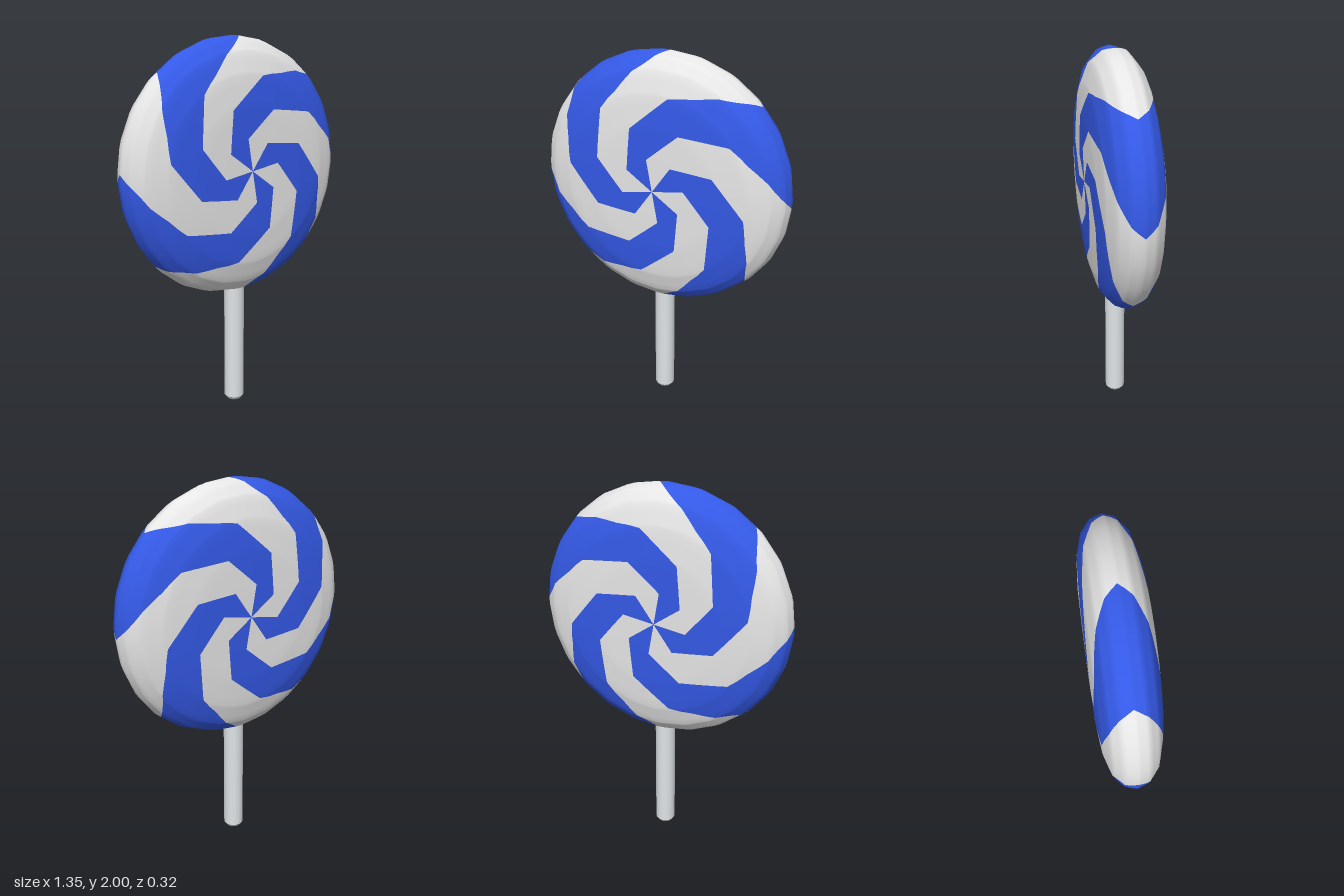
import * as THREE from 'three';

const DEG = Math.PI / 180;
const COLUMNS = 96;   // 12 columns for each of the 8 stripes
const STEPS = 4;      // rows between two neighbouring profile rings

const white = new THREE.MeshStandardMaterial({ color: 0xe6e6e6 });
white.name = 'candyWhite';
const blue = new THREE.MeshStandardMaterial({ color: 0x3459e6 });
blue.name = 'candyBlue';
const stickWhite = new THREE.MeshStandardMaterial({ color: 0xe0e4e7 });
stickWhite.name = 'stickWhite';

// Disc rings from centre to rim: radius, half thickness, swirl angle in degrees
const RINGS = [
  [0, 0.16, 100], [0.17, 0.16, 100], [0.337, 0.157, 66], [0.485, 0.143, 36],
  [0.595, 0.11, 12], [0.655, 0.06, 2], [0.675, 0, -2.5],
];

// Rows from centre to rim; stripe edges run straight from ring to ring
function swirlRows() {
  const rows = [];
  for (let i = 0; i < RINGS.length - 1; i++) {
    const [r0, z0, a0] = RINGS[i];
    const [r1, z1, a1] = RINGS[i + 1];
    const p0 = new THREE.Vector2(r0 * Math.cos(a0 * DEG), r0 * Math.sin(a0 * DEG));
    const p1 = new THREE.Vector2(r1 * Math.cos(a1 * DEG), r1 * Math.sin(a1 * DEG));
    for (let s = 0; s < STEPS; s++) {
      const p = p0.clone().lerp(p1, s / STEPS);
      const r = p.length();
      const z = THREE.MathUtils.mapLinear(r, r0, r1, z0, z1);
      rows.push({ r, z, a: r > 0 ? Math.atan2(p.y, p.x) : a0 * DEG });
    }
  }
  const [r, z, a] = RINGS[RINGS.length - 1];
  rows.push({ r, z, a: a * DEG });
  return rows;
}

// Closed swirled disc, front centre to rim to back centre
function discGeometry() {
  const front = swirlRows();
  const back = front.slice(0, -1).reverse().map((row) => ({ ...row, z: -row.z }));
  const rows = [...front, ...back];
  const positions = [];
  for (const { r, z, a } of rows) {
    for (let c = 0; c < COLUMNS; c++) {
      const t = a + (c / COLUMNS) * Math.PI * 2;
      positions.push(r * Math.cos(t), r * Math.sin(t), z);
    }
  }

  // Even stripes are blue, odd stripes are white
  const faces = [[], []];
  for (let j = 0; j < rows.length - 1; j++) {
    for (let c = 0; c < COLUMNS; c++) {
      const n = (c + 1) % COLUMNS;
      const a = j * COLUMNS + c, b = j * COLUMNS + n;
      const d = a + COLUMNS, e = b + COLUMNS;
      const list = faces[Math.floor(c / 12) % 2];
      if (j > 0) list.push(a, d, b);
      if (j < rows.length - 2) list.push(b, d, e);
      // The two centre fans need only one triangle per column
    }
  }
  const geometry = new THREE.BufferGeometry();
  geometry.setAttribute('position', new THREE.Float32BufferAttribute(positions, 3));
  geometry.setIndex([...faces[0], ...faces[1]]);
  geometry.addGroup(0, faces[0].length, 0);
  geometry.addGroup(faces[0].length, faces[1].length, 1);
  geometry.computeVertexNormals();

  // Press the round outline into 24 straight sides, keeping smooth normals
  const pos = geometry.attributes.position;
  const side = 15 * DEG;
  for (let i = 0; i < pos.count; i++) {
    const x = pos.getX(i), y = pos.getY(i);
    const local = THREE.MathUtils.euclideanModulo(Math.atan2(y, x), side) - side / 2;
    const k = Math.cos(side / 2) / Math.cos(local);
    pos.setXY(i, x * k, y * k);
  }
  return geometry;
}

export function createModel() {
  const model = new THREE.Group();
  model.name = 'lollipop';

  const disc = new THREE.Mesh(discGeometry(), [blue, white]);
  disc.name = 'swirlDisc';
  disc.position.y = 1.325;
  model.add(disc);

  // Stick with a small bevel at its foot
  const shaft = new THREE.Mesh(new THREE.CylinderGeometry(0.055, 0.055, 0.73, 16), stickWhite);
  shaft.name = 'stick';
  shaft.position.y = 0.02 + 0.365;
  const foot = new THREE.Mesh(new THREE.CylinderGeometry(0.055, 0.04, 0.02, 16), stickWhite);
  foot.name = 'stickFoot';
  foot.position.y = 0.01;
  model.add(shaft, foot);

  return model;
}
